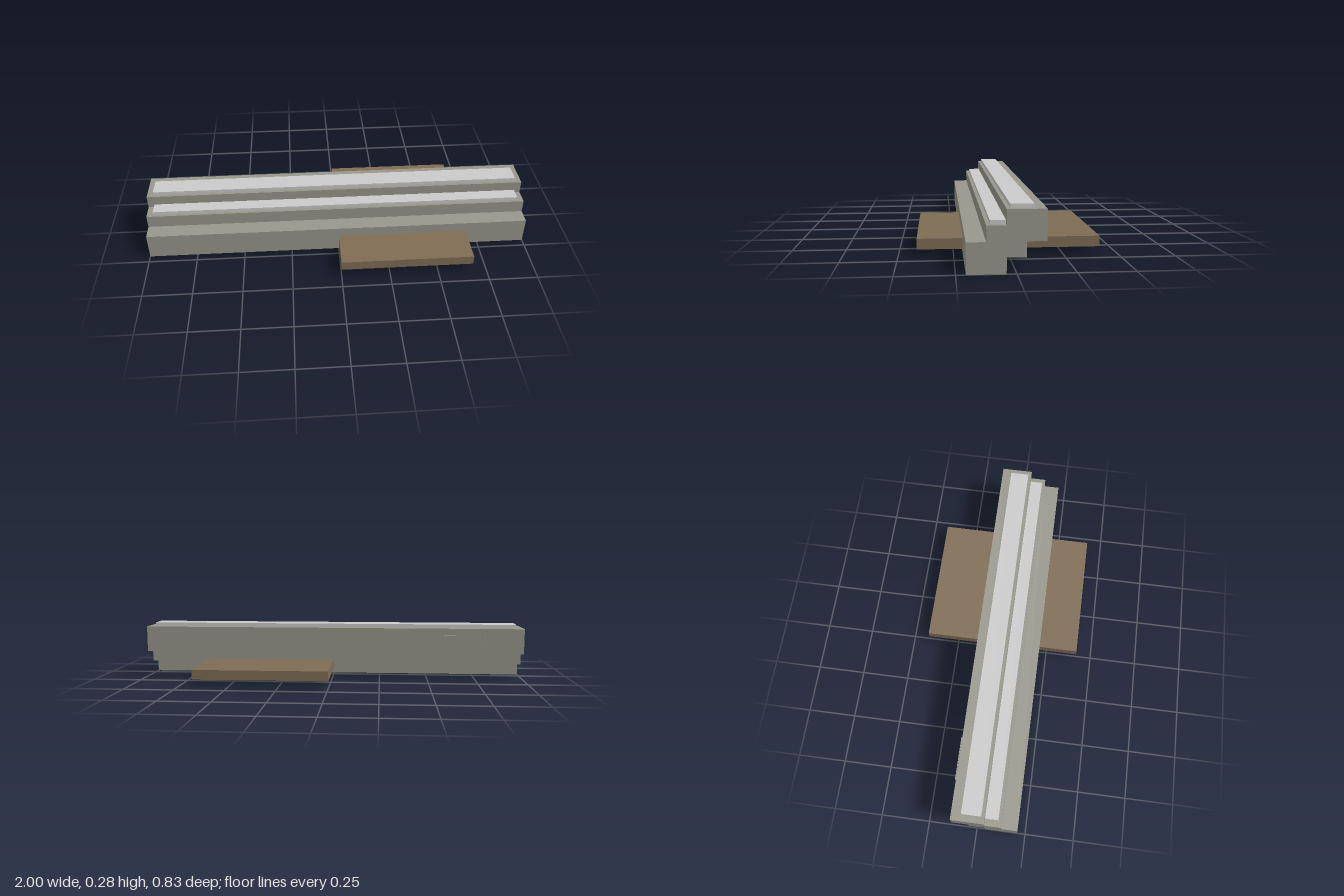
import * as THREE from 'three';

export function createModel() {
  const model = new THREE.Group();
  const material = (name, color) => {
    const m = new THREE.MeshStandardMaterial({ color });
    m.name = name;
    return m;
  };
  const stone = material('stone grey', 0x98978c);
  const pale = material('pale grey', 0xcacaca);
  const wood = material('brown wood', 0x7f6c54);

  // Box given by its limits on each axis
  const box = (name, mat, [x0, x1], [y0, y1], [z0, z1], parent = model) => {
    const mesh = new THREE.Mesh(new THREE.BoxGeometry(x1 - x0, y1 - y0, z1 - z0), mat);
    mesh.position.set((x0 + x1) / 2, (y0 + y1) / 2, (z0 + z1) / 2);
    mesh.name = name;
    parent.add(mesh);
  };

  // Stepped body: side profile (z, y) extruded along x
  const profile = new THREE.Shape([
    [0.208, 0], [0.208, 0.135], [0.125, 0.135], [0.125, 0.202],
    [0.042, 0.202], [0.042, 0.268], [-0.124, 0.268], [-0.124, 0.135],
    [-0.041, 0.135], [-0.041, 0.069], [0.042, 0.069], [0.042, 0],
  ].map(([z, y]) => new THREE.Vector2(-z, y)));
  const bodyGeometry = new THREE.ExtrudeGeometry(profile, { depth: 2, bevelEnabled: false });
  bodyGeometry.translate(0, 0, -1).rotateY(Math.PI / 2);
  const body = new THREE.Mesh(bodyGeometry, stone);
  body.name = 'steppedBody';
  model.add(body);

  // Raised pads on the two upper steps
  box('middlePad', pale, [-0.967, 0.967], [0.202, 0.218], [0.042, 0.108]);
  box('topPad', pale, [-0.967, 0.967], [0.268, 0.285], [-0.074, 0.025]);

  // Plank passing under the steps
  box('plank', wood, [0, 0.68], [0.036, 0.085], [-0.415, 0.415]);

  // Handle on the back: two brackets and a thin rail
  const handle = new THREE.Group();
  handle.name = 'backHandle';
  model.add(handle);
  for (const x of [-0.8, -0.604]) {
    box('handleBracket', stone, [x, x + 0.018], [0.201, 0.234], [-0.132, -0.123], handle);
  }
  box('handleRail', stone, [-0.8, -0.586], [0.226, 0.232], [-0.132, -0.128], handle);

  return model;
}
